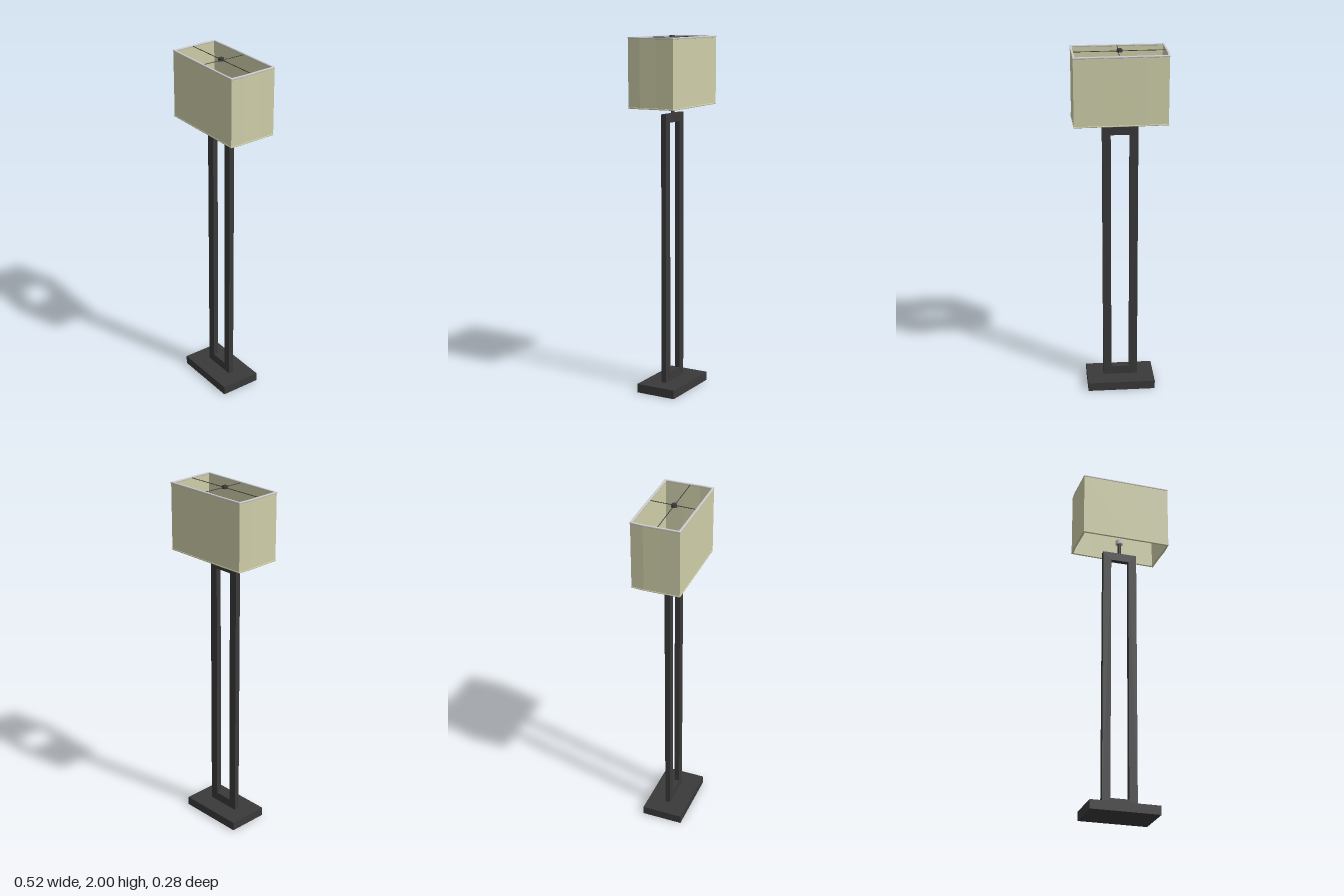
import * as THREE from 'three';

const dark = new THREE.MeshStandardMaterial({ color: 0x3a3a3a });
const grey = new THREE.MeshStandardMaterial({ color: 0xcccccc });
const cream = new THREE.MeshStandardMaterial({ color: 0xcfcfaa });

const CX = -0.006, CZ = 0.009; // axis of the stand

// Slightly uneven outline of the shade, as [x, z]
const outline = [
  [-0.257, 0.139], [0, 0.137], [0.255, 0.134], [0.258, 0.06], [0.254, -0.04],
  [0.253, -0.143], [0.1, -0.139], [-0.13, -0.135], [-0.256, -0.13], [-0.261, -0.06], [-0.259, 0.03],
];

function add(group, name, geometry, material, x = 0, y = 0, z = 0) {
  const mesh = new THREE.Mesh(geometry, material);
  mesh.name = name;
  mesh.position.set(x, y, z);
  group.add(mesh);
  return mesh;
}

// Outline moved inward by d, in shape coordinates (x, -z)
function inset(d) {
  return outline.map(([x, z]) => new THREE.Vector2(x * (1 - d / 0.257), -z * (1 - d / 0.138)));
}

// Upright band following the shade outline, between two insets
function band(outer, inner, height, bevel = 0) {
  const shape = new THREE.Shape(inset(outer + bevel));
  shape.holes.push(new THREE.Path(inset(inner - bevel)));
  const g = new THREE.ExtrudeGeometry(shape, {
    depth: height - 2 * bevel, bevelEnabled: bevel > 0,
    bevelSize: bevel, bevelThickness: bevel, bevelSegments: 2,
  });
  return g.translate(0, 0, bevel).rotateX(-Math.PI / 2);
}

// Thin round bar between two points
function bar(group, name, a, b, radius) {
  const from = new THREE.Vector3(...a), to = new THREE.Vector3(...b);
  const dir = to.clone().sub(from);
  const m = add(group, name, new THREE.CylinderGeometry(radius, radius, dir.length(), 8), dark);
  m.position.copy(from).add(to).multiplyScalar(0.5);
  m.quaternion.setFromUnitVectors(new THREE.Vector3(0, 1, 0), dir.normalize());
}

export function createModel() {
  const lamp = new THREE.Group();
  lamp.name = 'floorLamp';

  // Base slab
  add(lamp, 'base', new THREE.BoxGeometry(0.388, 0.05, 0.236), dark, CX, 0.025, CZ);

  // Open rectangular upright
  const rect = (S, w, y0, y1) => new S([[-w, y0], [w, y0], [w, y1], [-w, y1]]
    .map(([x, y]) => new THREE.Vector2(x, y)));
  const frame = rect(THREE.Shape, 0.099, 0.05, 1.575);
  frame.holes.push(rect(THREE.Path, 0.052, 0.1, 1.527));
  add(lamp, 'uprightFrame', new THREE.ExtrudeGeometry(frame, { depth: 0.03, bevelEnabled: false }),
    dark, CX, 0, CZ - 0.015);

  // Neck and hexagonal socket
  add(lamp, 'neck', new THREE.CylinderGeometry(0.01, 0.01, 0.075, 8), dark, CX, 1.61, CZ);
  add(lamp, 'socket', new THREE.CylinderGeometry(0.023, 0.023, 0.022, 6), grey, CX, 1.655, CZ);

  // Shade wall with rounded hems top and bottom
  const shade = new THREE.Group();
  shade.name = 'shade';
  lamp.add(shade);
  add(shade, 'shadeWall', band(0.001, 0.009, 0.376), cream, 0, 1.616, 0);
  add(shade, 'topHem', band(-0.001, 0.011, 0.01, 0.003), grey, 0, 1.985, 0);
  add(shade, 'bottomHem', band(-0.001, 0.011, 0.008, 0.003), cream, 0, 1.614, 0);

  // Crossed wires carrying the shade, with a central finial
  bar(shade, 'longWire', [-0.252, 1.989, 0.014], [0.254, 1.989, 0.002], 0.002);
  bar(shade, 'shortWire', [0.008, 1.989, -0.134], [0.001, 1.989, 0.134], 0.002);
  add(shade, 'finial', new THREE.CylinderGeometry(0.014, 0.017, 0.016, 8), dark, CX + 0.003, 1.992, CZ);

  return lamp;
}
